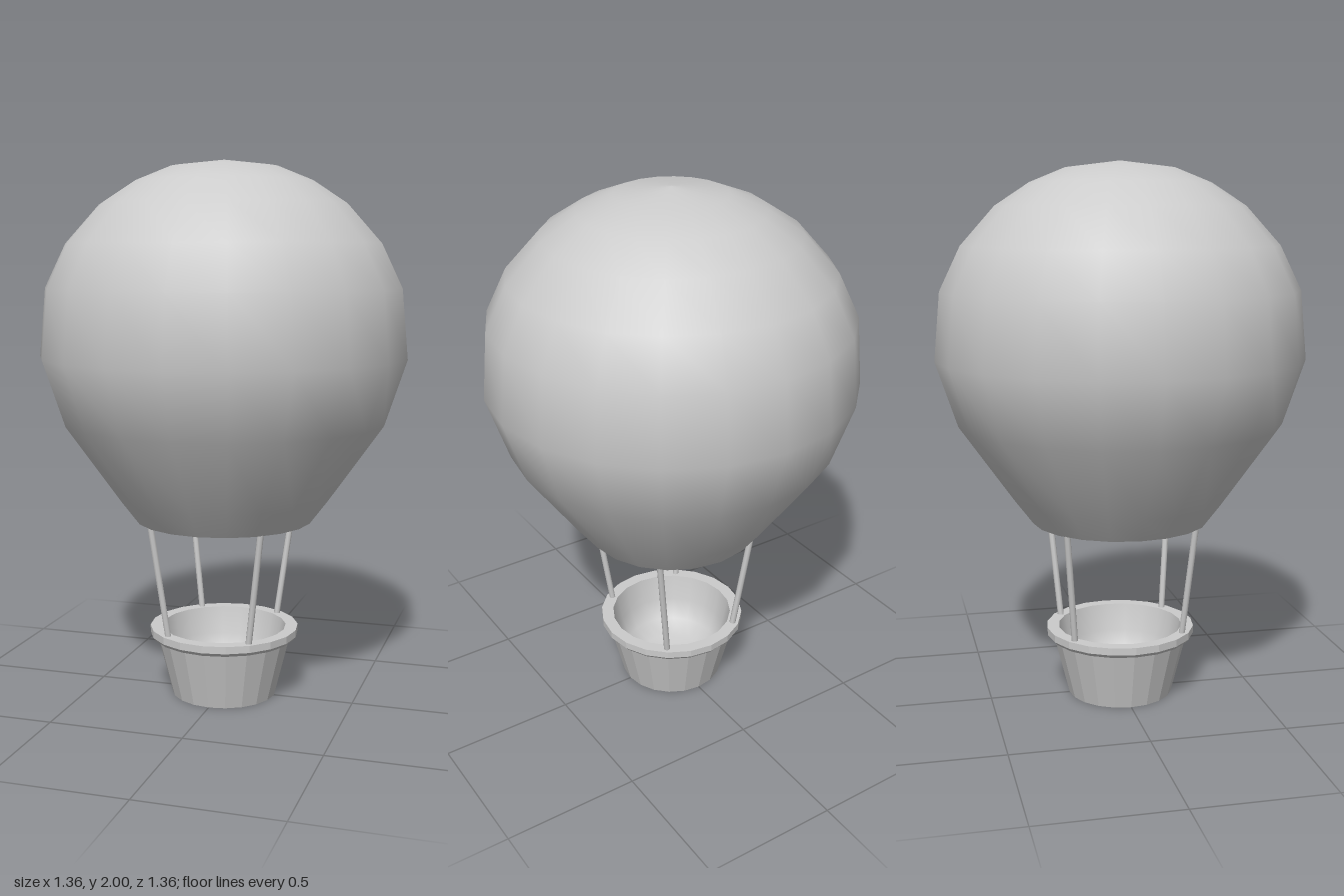
import * as THREE from 'three';

const SIDES = 20;

// Revolved part from [radius, height] pairs
function lathe(name, profile, flatShading, side = THREE.FrontSide) {
  const points = profile.map(([r, y]) => new THREE.Vector2(r, y));
  const material = new THREE.MeshStandardMaterial({ color: 0xcccccc, flatShading, side });
  const mesh = new THREE.Mesh(new THREE.LatheGeometry(points, SIDES), material);
  mesh.name = name;
  return mesh;
}

// Straight rope between two points
function rope(name, from, to, radius) {
  const geometry = new THREE.CylinderGeometry(radius, radius, from.distanceTo(to), 8);
  const mesh = new THREE.Mesh(geometry, new THREE.MeshStandardMaterial({ color: 0xcccccc }));
  const direction = to.clone().sub(from).normalize();
  mesh.quaternion.setFromUnitVectors(new THREE.Vector3(0, 1, 0), direction);
  mesh.position.copy(from).add(to).multiplyScalar(0.5);
  mesh.name = name;
  return mesh;
}

export function createModel() {
  const model = new THREE.Group();
  model.name = 'hotAirBalloon';

  // Balloon skin, open at the mouth
  model.add(lathe('envelope', [
    [0.33, 0.675], [0.4, 0.767], [0.6, 1.05], [0.68, 1.29], [0.657, 1.54],
    [0.58, 1.7], [0.455, 1.84], [0.33, 1.922], [0.2, 1.975], [0, 2],
  ], false, THREE.DoubleSide));

  // Flat ring under the envelope and the funnel leading inside
  model.add(lathe('mouth', [[0.13, 0.83], [0.254, 0.675], [0.33, 0.675]], true, THREE.DoubleSide));

  // Basket: tapered wall, overhanging rim, hollow inside
  const basket = new THREE.Group();
  basket.name = 'basket';
  basket.add(lathe('basketWall', [[0, 0], [0.198, 0], [0.255, 0.225]], true));
  basket.add(lathe('basketRim', [[0.25, 0.222], [0.27, 0.222], [0.281, 0.235], [0.281, 0.262], [0.235, 0.262]], true));
  basket.add(lathe('basketInside', [[0.235, 0.262], [0.215, 0.16], [0.185, 0.08], [0.12, 0.04], [0, 0.03]], false));
  model.add(basket);

  // Four ropes, one per corner
  for (const sx of [-1, 1]) {
    for (const sz of [-1, 1]) {
      const name = (sz > 0 ? 'front' : 'back') + (sx > 0 ? 'Left' : 'Right') + 'Rope';
      model.add(rope(
        name,
        new THREE.Vector3(0.153 * sx, 0.245, 0.203 * sz),
        new THREE.Vector3(0.209 * sx, 0.69, 0.24 * sz),
        0.012,
      ));
    }
  }

  return model;
}
